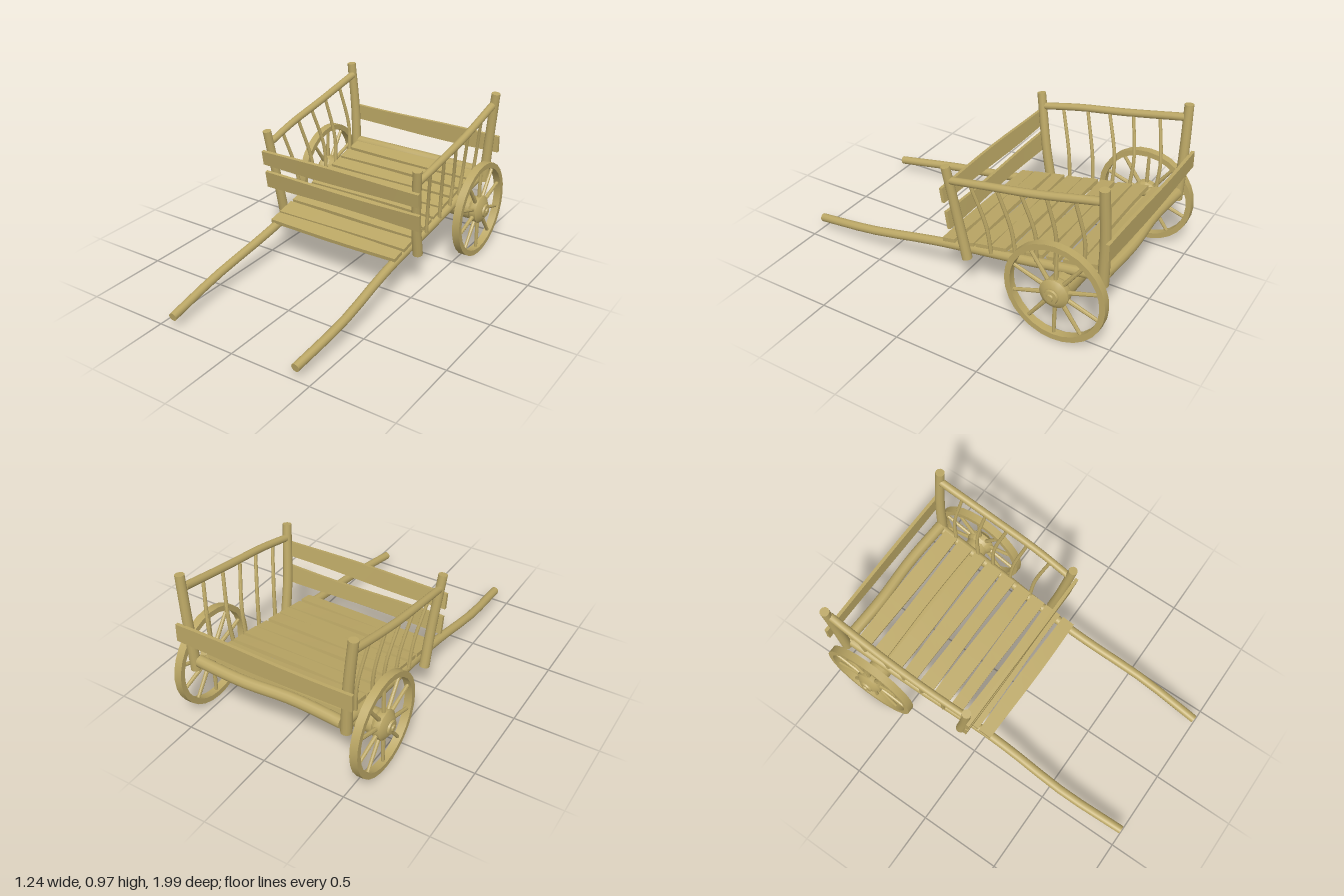
import * as THREE from 'three';
import { toCreasedNormals } from 'three/addons/utils/BufferGeometryUtils.js';

const wood = new THREE.MeshStandardMaterial({ color: 0xbba765 });

function add(parent, name, geometry) {
  const mesh = new THREE.Mesh(toCreasedNormals(geometry, 0.7), wood);
  mesh.name = name;
  parent.add(mesh);
  return mesh;
}

// Round pole swept along a smooth path, tapering from r0 to r1
function pole(points, r0, r1 = r0, sides = 12, steps = 14) {
  const curve = new THREE.CatmullRomCurve3(points.map(p => new THREE.Vector3(...p)));
  const geo = new THREE.CylinderGeometry(1, 1, 1, sides, steps);
  const pos = geo.attributes.position;
  const first = curve.getTangent(0.5);
  const ref = Math.abs(first.x) > 0.8 ? new THREE.Vector3(0, 1, 0) : new THREE.Vector3(1, 0, 0);
  for (let i = 0; i < pos.count; i++) {
    const t = THREE.MathUtils.clamp(pos.getY(i) + 0.5, 0, 1);
    const tan = curve.getTangent(t);
    const u = new THREE.Vector3().crossVectors(tan, ref).normalize();
    const v = new THREE.Vector3().crossVectors(u, tan);
    const r = r0 + (r1 - r0) * t;
    const p = curve.getPoint(t).addScaledVector(u, pos.getX(i) * r).addScaledVector(v, pos.getZ(i) * r);
    pos.setXYZ(i, p.x, p.y, p.z);
  }
  return geo;
}

// Rough-sawn board along x, with gently wavering edges
function board(length, height, depth, seed) {
  const geo = new THREE.BoxGeometry(length, height, depth, 8, 1, 1);
  const pos = geo.attributes.position;
  for (let i = 0; i < pos.count; i++) {
    const x = pos.getX(i), y = pos.getY(i), z = pos.getZ(i);
    const wave = k => 0.005 * Math.sin(x * 5 + seed * 2.3 + k);
    const tall = height > depth;
    pos.setXYZ(i, x,
      y + (tall ? wave(Math.sign(y)) : 0.4 * wave(0)),
      z + (tall ? 0.4 * wave(0) : wave(Math.sign(z))));
  }
  return geo;
}

// Height of the shaft centre line under the bed
const shaftY = z => 0.24 - z * 0.19;

function makeWheel() {
  const wheel = new THREE.Group();
  const lathe = (pts, n) => new THREE.LatheGeometry(pts.map(p => new THREE.Vector2(...p)), n);
  const R = 0.295, r = 0.262, w = 0.023;
  add(wheel, 'rim', toCreasedNormals(lathe([[R, -w], [R, w], [r, w], [r, -w], [R, -w]], 28), 0.1));
  add(wheel, 'hub', lathe([[0, -0.05], [0.06, -0.05], [0.085, -0.015], [0.085, 0.02], [0.05, 0.045],
    [0.042, 0.045], [0.038, 0.055], [0.02, 0.057], [0.016, 0.065], [0, 0.065]], 16));
  const spokes = 10;
  for (let i = 0; i < spokes; i++) {
    const a = i / spokes * Math.PI * 2;
    const spoke = new THREE.CylinderGeometry(0.01, 0.013, 0.21, 8);
    spoke.rotateZ(-Math.PI / 2).translate(0.165, 0, 0).rotateY(a);
    add(wheel, 'spoke', spoke);
  }
  return wheel;
}

export function createModel() {
  const cart = new THREE.Group();
  cart.name = 'handcart';

  for (const s of [1, -1]) {
    const side = new THREE.Group();
    side.name = s > 0 ? 'leftSide' : 'rightSide';
    cart.add(side);
    const sidePole = (name, pts, r0, r1, sides) =>
      add(side, name, pole(pts.map(([x, y, z]) => [x * s, y, z]), r0, r1, sides));

    // Shaft running from the handle end to the back of the bed
    sidePole('shaft', [[0.41, 0.073, 0.995], [0.43, 0.135, 0.6], [0.415, 0.205, 0.2], [0.415, shaftY(0), 0],
      [0.435, shaftY(-0.4), -0.4], [0.45, shaftY(-0.92), -0.92]], 0.025, 0.029);

    // Corner posts and top rail
    sidePole('frontPost', [[0.475, 0.23, -0.105], [0.482, 0.45, -0.06], [0.51, 0.8, 0]], 0.03, 0.026);
    sidePole('rearPost', [[0.475, 0.38, -0.925], [0.49, 0.65, -0.93], [0.518, 0.965, -0.92]], 0.031, 0.027);
    sidePole('topRail', [[0.505, 0.72, -0.03], [0.515, 0.765, -0.25], [0.515, 0.815, -0.55], [0.505, 0.89, -0.91]], 0.021, 0.023);

    // Bent spindles between shaft and top rail
    const spindles = [[-0.15, -0.245], [-0.31, -0.4], [-0.45, -0.525], [-0.6, -0.635], [-0.76, -0.8]];
    spindles.forEach(([top, low], i) => {
      const yTop = 0.725 + (-top - 0.05) * 0.19, yLow = shaftY(low) + 0.015;
      const bend = i > 1 ? 0.02 : 0.006;
      sidePole('spindle', [[0.45, yLow, low], [0.465, yLow * 0.6 + yTop * 0.4, low * 0.7 + top * 0.3 - bend],
        [0.51, yTop, top]], 0.012, 0.01, 8);
    });

    // Spoked wheel
    const wheel = makeWheel();
    wheel.name = 'wheel';
    wheel.position.set(0.557 * s, 0.295, -0.7);
    wheel.rotation.z = -s * Math.PI / 2;
    side.add(wheel);
  }

  // Axle and rear cross log
  add(cart, 'axle', pole([[-0.53, 0.295, -0.7], [-0.2, 0.29, -0.7], [0.2, 0.293, -0.7], [0.53, 0.295, -0.7]], 0.072));
  add(cart, 'rearCrossLog', pole([[-0.45, 0.43, -0.925], [-0.15, 0.437, -0.915], [0.15, 0.432, -0.93], [0.45, 0.435, -0.92]], 0.034));

  // Floor planks: front and back edge of each
  const planks = [[0.085, 0], [-0.012, -0.12], [-0.138, -0.222], [-0.233, -0.335], [-0.35, -0.44],
    [-0.457, -0.553], [-0.57, -0.655], [-0.675, -0.765], [-0.785, -0.875]];
  planks.forEach(([front, back], i) => {
    const z = (front + back) / 2;
    const plank = add(cart, 'floorPlank', board(0.87, 0.024, front - back, i));
    plank.position.set(0, shaftY(z) + 0.036, z);
    plank.rotation.x = 0.187;
  });

  // Front and rear boards nailed across the posts
  const boards = [['upperFrontBoard', 1.07, 0.095, 0.63, 0.01, 0.17], ['lowerFrontBoard', 1.06, 0.1, 0.48, -0.016, 0.17],
    ['rearBoard', 1.08, 0.105, 0.622, -0.967, 0.02]];
  boards.forEach(([name, length, height, y, z, lean], i) => {
    const b = add(cart, name, board(length, height, 0.02, i + 3));
    b.position.set(0, y, z);
    b.rotation.x = lean;
  });

  return cart;
}
